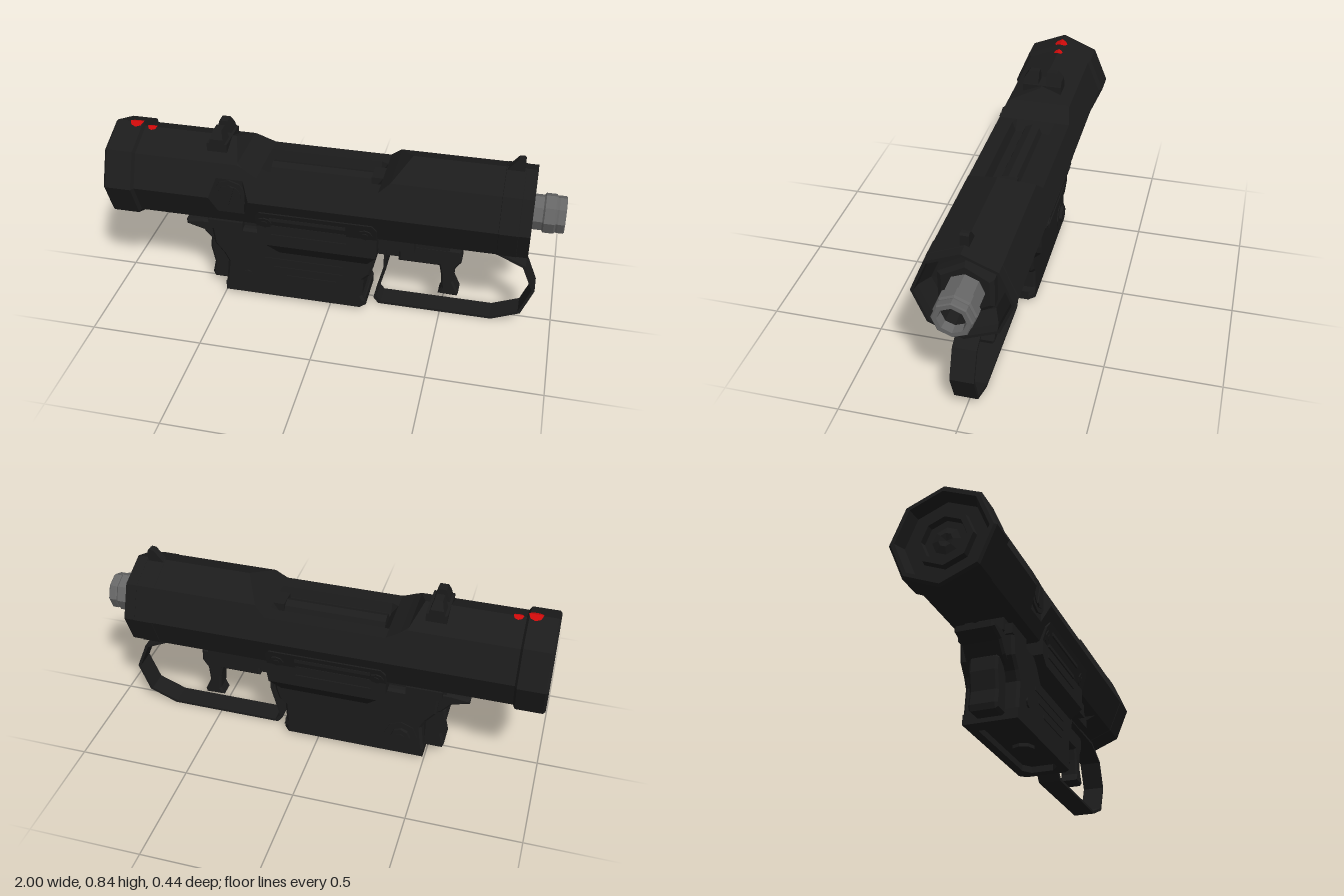
import * as THREE from 'three';

const V = (x, y, z) => new THREE.Vector3(x, y, z);

export function createModel() {
  const root = new THREE.Group();
  root.name = 'blaster';
  const mat = (name, color) => {
    const m = new THREE.MeshStandardMaterial({ color });
    m.name = name;
    return m;
  };
  const black = mat('matte black', 0x1c1c1c);
  const steel = mat('steel grey', 0x666666);
  const red = mat('signal red', 0xcc0a0a);

  // Adds a faceted mesh
  const add = (name, geo, m = black) => {
    const g = geo.index ? geo.toNonIndexed() : geo;
    g.computeVertexNormals();
    const mesh = new THREE.Mesh(g, m);
    mesh.name = name;
    root.add(mesh);
  };
  const box = (name, x0, x1, y0, y1, z0, z1) =>
    add(name, new THREE.BoxGeometry(x1 - x0, y1 - y0, z1 - z0)
      .translate((x0 + x1) / 2, (y0 + y1) / 2, (z0 + z1) / 2));
  // Height of the barrel axis
  const C = 0.574;
  // Turned part around the barrel axis, profile given as [radius, x]
  const turned = (name, profile, sides, m, spin = 0) =>
    add(name, new THREE.LatheGeometry(profile.map(([r, x]) => new THREE.Vector2(r, x)), sides)
      .rotateZ(-Math.PI / 2).rotateX(spin).translate(0, C, 0), m);
  // Disc facing sideways, centred at z
  const disc = (name, x, y, z, r, thick, sides) =>
    add(name, new THREE.CylinderGeometry(r, r, thick, sides).rotateX(Math.PI / 2).translate(x, y, z));
  const points = (pts) => pts.map(([x, y]) => new THREE.Vector2(x, y));
  const outline = (pts) => new THREE.Shape(points(pts));
  // Side outline extruded symmetrically across z
  const slab = (name, pts, half, bevel = 0) =>
    add(name, new THREE.ExtrudeGeometry(outline(pts), {
      depth: 2 * (half - bevel), bevelEnabled: bevel > 0, bevelSize: bevel,
      bevelThickness: bevel, bevelOffset: -bevel, bevelSegments: 1,
    }).translate(0, 0, bevel - half));
  // Skin over a row of equal-length cross-sections
  const loft = (name, rings, caps) => {
    const n = rings[0].length, idx = [];
    for (let i = 0; i < rings.length - 1; i++)
      for (let j = 0; j < n; j++) {
        const a = i * n + j, b = i * n + (j + 1) % n;
        idx.push(a, b, b + n, a, b + n, a + n);
      }
    if (caps) {
      const e = (rings.length - 1) * n;
      for (let j = 1; j < n - 1; j++) idx.push(0, j + 1, j, e, e + j, e + j + 1);
    }
    const g = new THREE.BufferGeometry().setFromPoints(rings.flat());
    g.setIndex(idx);
    add(name, g);
  };

  // Eight-sided housing: x, top height, bottom height, channel depth, left side limit
  const T = C + 0.205, B = C - 0.205, L = 0.424;
  const section = ([x, t, b, d = 0, s = 0.205]) => {
    const shoulderY = Math.min(t, C + 0.145);
    const zs = 0.205 - 0.06 * (shoulderY - C) / 0.145;
    const zr = t > C + 0.145 ? 0.145 * (T - t) / 0.06 : zs;
    const zb = 0.145 * (b - B) / 0.06;
    const dy = (0.205 - s) * 0.145 / 0.06;
    const rim = Math.min(0.095, zr), floor = Math.min(0.08, zr);
    return [
      [floor, t - d], [rim, t], [zr, t], [Math.min(zs, s), shoulderY], [s, C + dy], [s, C - dy],
      [0.145, C - 0.145], [zb, b], [-zb, b], [-0.145, C - 0.145], [-0.205, C],
      [-zs, shoulderY], [-zr, t], [-rim, t], [-floor, t - d],
    ].map(([z, y]) => V(x, y, z));
  };
  loft('housing', [
    [-0.88, T, B], [-0.66, T, B], [-0.645, T, L], [-0.52, T, L], [-0.49, T, L, 0, 0.17],
    [-0.44, T, L, 0, 0.17], [-0.40, 0.724, L, 0, 0.17], [-0.37, 0.706, L, 0, 0.17],
    [-0.34, 0.69, L], [-0.31, 0.676, L], [-0.28, 0.676, L, 0.045], [0.19, 0.676, L, 0.045],
    [0.22, 0.676, L], [0.268, 0.719, L], [0.34, T, L], [0.515, T, L], [0.525, T, B], [0.865, T, B],
  ].map(section), false);

  // Front opening, band, collar and barrel
  turned('frontRecess', [[0.205, 0.865], [0.192, 0.865], [0.186, 0.83], [0.168, 0.80], [0.15, 0.77], [0, 0.76]], 8);
  turned('frontBand', [[0.2, 0.73], [0.207, 0.735], [0.207, 0.815], [0.2, 0.82]], 8);
  turned('barrelCollar', [[0.13, 0.74], [0.13, 0.81], [0.11, 0.82], [0, 0.82]], 6, black, Math.PI / 2);
  turned('barrel', [[0.078, 0.78], [0.078, 0.905], [0.087, 0.912], [0.087, 0.955], [0.08, 0.962],
    [0.082, 0.97], [0.082, 0.995], [0.077, 1], [0.058, 1], [0.053, 0.96]], 8, steel);
  turned('bore', [[0.053, 0.96], [0.05, 0.90], [0, 0.89]], 8);

  // Rear cap with a dished end
  turned('rearCap', [[0, -0.95], [0.03, -0.96], [0.06, -0.95], [0.09, -0.95], [0.095, -0.975], [0.12, -0.975],
    [0.125, -0.95], [0.175, -0.95], [0.195, -1], [0.212, -1], [0.222, -0.99], [0.222, -0.873], [0.2, -0.86]], 8);
  // Indicator plates folded over the top ridge
  for (const [x, ridge, r] of [[-0.9, C + 0.222, 0.031], [-0.83, T, 0.022]]) {
    const g = new THREE.CircleGeometry(r, 8).rotateX(-Math.PI / 2);
    const p = g.attributes.position;
    for (let i = 0; i < p.count; i++) p.setY(i, ridge + 0.003 - Math.abs(p.getZ(i)) * 0.414);
    add('indicatorLight', g.translate(x, 0, 0), red);
  }

  // Rear sight prongs, tapering upward
  for (const s of [1, -1]) {
    const g = new THREE.ExtrudeGeometry(outline([[0.018, 0.72], [0.09, 0.72], [0.09, 0.8], [0.066, 0.836], [0.018, 0.836]]
      .map(([z, y]) => [z * s, y])), { depth: 0.09, bevelEnabled: false }).rotateY(-Math.PI / 2);
    const p = g.attributes.position;
    for (let i = 0; i < p.count; i++) {
      const k = THREE.MathUtils.mapLinear(p.getY(i), 0.72, 0.836, 1.15, 0.4);
      p.setX(i, -0.505 + (p.getX(i) + 0.045) * k);
    }
    add('rearSightProng', g);
  }
  box('rearSightBase', -0.55, -0.46, 0.72, 0.78, -0.09, 0.09);
  slab('frontSight', [[0.725, 0.76], [0.81, 0.76], [0.81, 0.822], [0.802, 0.83], [0.782, 0.828]], 0.018);

  // Bolt in the top channel
  add('boltRod', new THREE.CylinderGeometry(0.045, 0.045, 0.46, 8).rotateZ(Math.PI / 2).translate(-0.05, 0.629, 0));
  box('boltBlock', 0.17, 0.23, 0.63, 0.676, -0.045, 0.045);

  // Large slotted knob on the left side
  disc('sideKnob', -0.43, 0.58, 0.157, 0.077, 0.045, 10);
  disc('sideKnobFace', -0.43, 0.58, 0.18, 0.055, 0.008, 10);
  add('sideKnobSlot', new THREE.BoxGeometry(0.018, 0.105, 0.008).rotateZ(-0.3).translate(-0.43, 0.58, 0.185));

  // Receiver with flared side panels: y, rear x, front x, half width
  const panelZ = (y) => 0.16 + Math.max(0, y - 0.43) * 0.34;
  const rect = ([y, x0, x1, h = panelZ(y)]) => [V(x1, y, -h), V(x0, y, -h), V(x0, y, h), V(x1, y, h)];
  loft('receiver', [
    [0.265, -0.23, 0.17, 0.117], [0.33, -0.28, 0.215], [0.365, -0.32, 0.22],
    [0.43, -0.32, 0.22], [0.49, -0.32, 0.22], [0.518, -0.30, 0.20],
  ].map(rect), true);
  box('underRail', -0.575, 0.53, 0.368, 0.435, -0.085, 0.085);
  for (const s of [1, -1]) {
    box('rearLug', -0.56, -0.4, 0.355, 0.4, s * 0.1 - 0.018, s * 0.1 + 0.018);
    box('frontLug', 0.22, 0.38, 0.36, 0.43, s * 0.1 - 0.02, s * 0.1 + 0.02);
    // Raised ribs and screws on each panel
    [0.385, 0.435, 0.485].forEach((y) =>
      add('panelRib', new THREE.BoxGeometry(0.34, 0.016, 0.016).translate(-0.085, y, s * (panelZ(y) - 0.003))));
    for (const x of [-0.28, 0.17])
      for (const [r, d] of [[0.032, 0.012], [0.014, 0.018]])
        add('panelScrew', new THREE.CylinderGeometry(r, r, d, 8).rotateX(Math.PI / 2 + s * 0.33)
          .translate(x, 0.46, s * 0.169));
  }

  // Grip block, hollow foot and rear pieces
  slab('grip', [[-0.495, 0.045], [0.165, 0.045], [0.15, 0.08], [0.155, 0.17], [0.185, 0.2], [0.2, 0.25],
    [0.215, 0.37], [-0.55, 0.37], [-0.54, 0.27], [-0.5, 0.22], [-0.48, 0.18]], 0.118, 0.012);
  const foot = outline([[-0.495, -0.118], [0.14, -0.118], [0.165, -0.09], [0.165, 0.09], [0.14, 0.118], [-0.495, 0.118]]);
  foot.holes.push(new THREE.Path(points(
    [[-0.42, -0.08], [-0.42, 0.08], [0.08, 0.08], [0.12, 0.05], [0.12, -0.05], [0.08, -0.08]])));
  add('gripFoot', new THREE.ExtrudeGeometry(foot, { depth: 0.045, bevelEnabled: false })
    .rotateX(-Math.PI / 2).translate(0, 0.016, 0));
  add('footPlug', new THREE.CylinderGeometry(0.05, 0.05, 0.02, 8).translate(-0.12, 0.04, 0));
  slab('gripSpur', [[-0.5, 0.23], [-0.5, 0.368], [-0.6, 0.368], [-0.68, 0.358], [-0.678, 0.334], [-0.6, 0.312], [-0.56, 0.265]], 0.085, 0.01);
  slab('backstrap', [[-0.48, 0.035], [-0.57, 0.035], [-0.578, 0.06], [-0.565, 0.12], [-0.58, 0.2],
    [-0.575, 0.26], [-0.55, 0.275], [-0.48, 0.27]], 0.062, 0.01);
  [[0.135, -0.2, 0.03], [0.178, -0.26, 0.06], [0.223, -0.3, 0.06]].forEach(([y, x0, x1]) =>
    box('gripRib', x0, x1, y - 0.008, y + 0.008, 0.11, 0.122));
  disc('gripPin', -0.385, 0.123, 0.118, 0.022, 0.014, 8);
  disc('gripBoss', -0.39, 0.122, -0.116, 0.075, 0.012, 8);
  disc('gripScrew', -0.39, 0.122, -0.126, 0.043, 0.02, 8);
  disc('gripScrewCentre', -0.39, 0.122, -0.136, 0.02, 0.006, 6);

  // Trigger and its linkage
  slab('trigger', [[0.30, 0.25], [0.485, 0.25], [0.495, 0.2], [0.5, 0.13], [0.485, 0.095], [0.572, 0.092], [0.577, 0.11],
    [0.55, 0.17], [0.555, 0.24], [0.582, 0.28], [0.58, 0.342], [0.30, 0.342]], 0.04, 0.008);
  box('triggerRod', 0.19, 0.31, 0.267, 0.325, -0.03, 0.03);
  box('triggerLink', 0.25, 0.44, 0.335, 0.372, -0.03, 0.03);

  // Thin band guard
  const path = [[0.235, 0.2], [0.192, 0.03], [0.215, 0], [0.735, 0], [0.862, 0.054], [0.913, 0.187],
    [0.862, 0.314], [0.735, 0.374], [0.235, 0.374]];
  const guard = outline(path);
  guard.holes.push(new THREE.Path(points(path.map(([x, y]) =>
    [0.55 + (x - 0.55) * 0.964, 0.187 + (y - 0.187) * 0.936]))));
  add('triggerGuard', new THREE.ExtrudeGeometry(guard, { depth: 0.1, bevelEnabled: false }).translate(0, 0, -0.05));

  return root;
}
